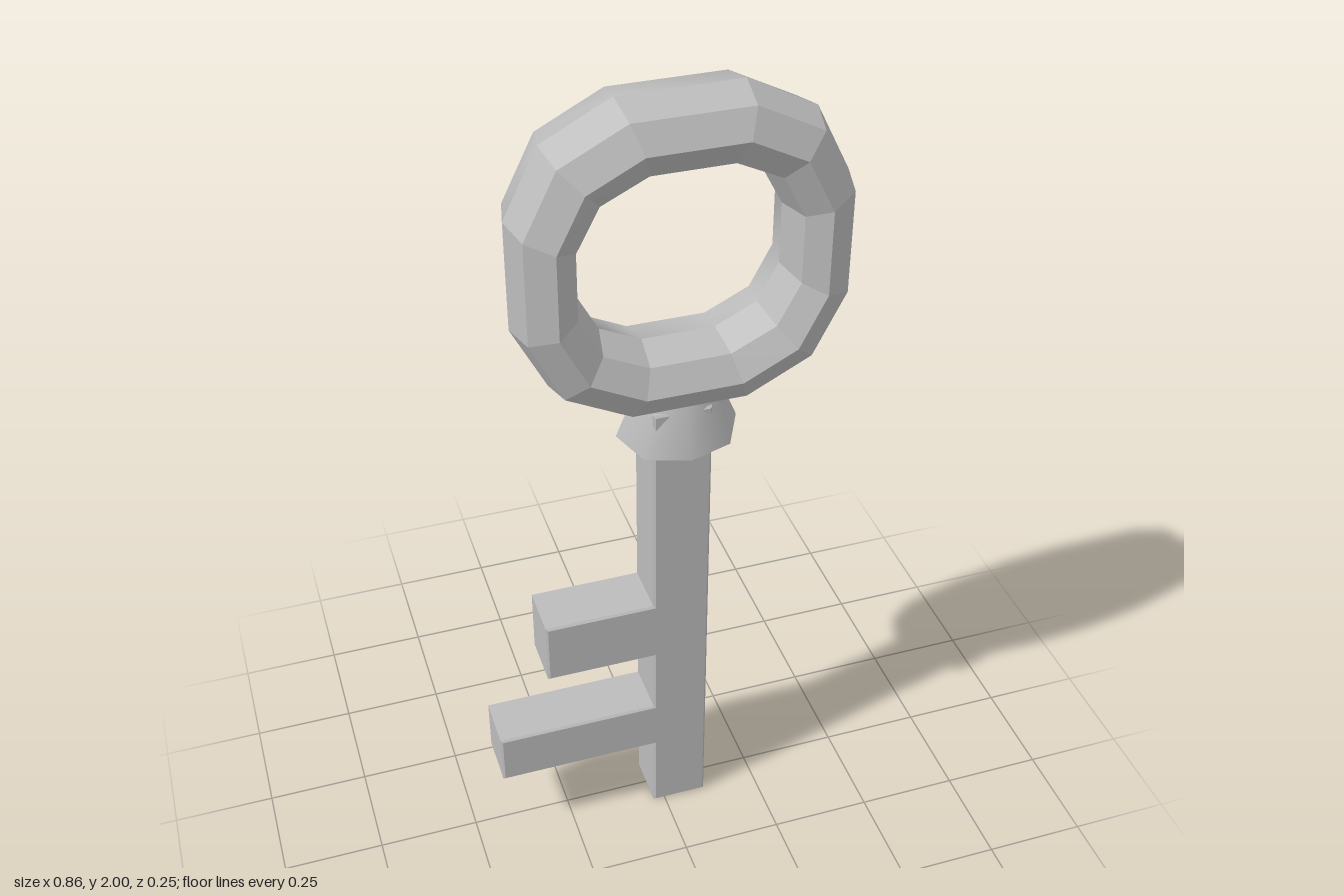
import * as THREE from 'three';
import { toCreasedNormals } from 'three/addons/utils/BufferGeometryUtils.js';

const CX = 0.04; // axis of the shaft
const RING_X = 0.05, RING_Y = 1.63;

// Twelve-sided outline of the bow, scaled to half width and half height 1
function outline() {
  const quarter = [[1, 0.35], [0.79, 0.78], [0.37, 1]];
  const mirrored = quarter.map(([x, y]) => [-x, y]).reverse();
  const top = [...quarter, ...mirrored];
  return [...top, ...top.map(([x, y]) => [-x, -y])];
}

// Sweep a section of [halfWidth, halfHeight, z] levels around the outline
function ringHalf(section, crease) {
  const loop = outline(), n = loop.length;
  const pos = [], index = [];
  for (const [rx, ry, z] of section)
    for (const [x, y] of loop) pos.push(RING_X + x * rx, RING_Y + y * ry, z);
  for (let i = 0; i < section.length - 1; i++)
    for (let j = 0; j < n; j++) {
      const k = (j + 1) % n;
      const a = i * n + j, a2 = i * n + k, b = a + n, b2 = a2 + n;
      index.push(a, a2, b, a2, b2, b);
    }
  const g = new THREE.BufferGeometry();
  g.setAttribute('position', new THREE.Float32BufferAttribute(pos, 3));
  g.setIndex(index);
  return toCreasedNormals(g, crease);
}

export function createModel() {
  const metal = new THREE.MeshStandardMaterial({ color: 0xbcbcbc });
  metal.name = 'grey metal';
  const model = new THREE.Group();
  model.name = 'key';
  const add = (name, geometry) => {
    const mesh = new THREE.Mesh(geometry, metal);
    mesh.name = name;
    model.add(mesh);
    return mesh;
  };

  // Bow: faceted front half, softer back half
  add('bowFront', ringHalf([
    [0.38, 0.37, 0], [0.36, 0.35, 0.087], [0.3, 0.29, 0.122],
    [0.25, 0.23, 0.087], [0.23, 0.21, 0],
  ], 0.1));
  add('bowBack', ringHalf([
    [0.23, 0.21, 0], [0.25, 0.23, -0.09], [0.29, 0.28, -0.125],
    [0.335, 0.325, -0.116], [0.36, 0.35, -0.09], [0.38, 0.37, 0],
  ], 0.62));

  // Collar: flared oval cone whose rim lifts slightly at the sides
  const collar = new THREE.CylinderGeometry(0.1, 0.145, 0.13, 8, 1);
  const p = collar.attributes.position;
  for (let i = 0; i < p.count; i++) {
    const x = p.getX(i), y = p.getY(i);
    if (y < 0 && Math.abs(x) > 0.12) p.setY(i, y + 0.02);
    p.setZ(i, p.getZ(i) * (y < 0 ? 0.79 : 0.72));
  }
  add('collar', toCreasedNormals(collar, 0.9)).position.set(0.047, 1.215, 0);

  // Shaft and both teeth as one outline with slightly softened edges
  const e = 0.005;
  const left = CX - 0.07, right = CX + 0.07;
  const shape = new THREE.Shape([
    [left + e, e], [right - e, e], [right - e, 1.25], [left + e, 1.25],
    [left + e, 0.69 - e], [-0.3 + e, 0.69 - e], [-0.3 + e, 0.525 + e], [left + e, 0.525 + e],
    [left + e, 0.35 - e], [-0.43 + e, 0.35 - e], [-0.43 + e, 0.213 + e], [left + e, 0.213 + e],
  ].map(([x, y]) => new THREE.Vector2(x, y)));
  const shaft = new THREE.ExtrudeGeometry(shape, {
    depth: 0.14 - 2 * e, bevelEnabled: true, bevelThickness: e, bevelSize: e, bevelSegments: 1,
  });
  shaft.translate(0, 0, -0.07 + e);
  add('shaftAndTeeth', shaft);

  return model;
}
